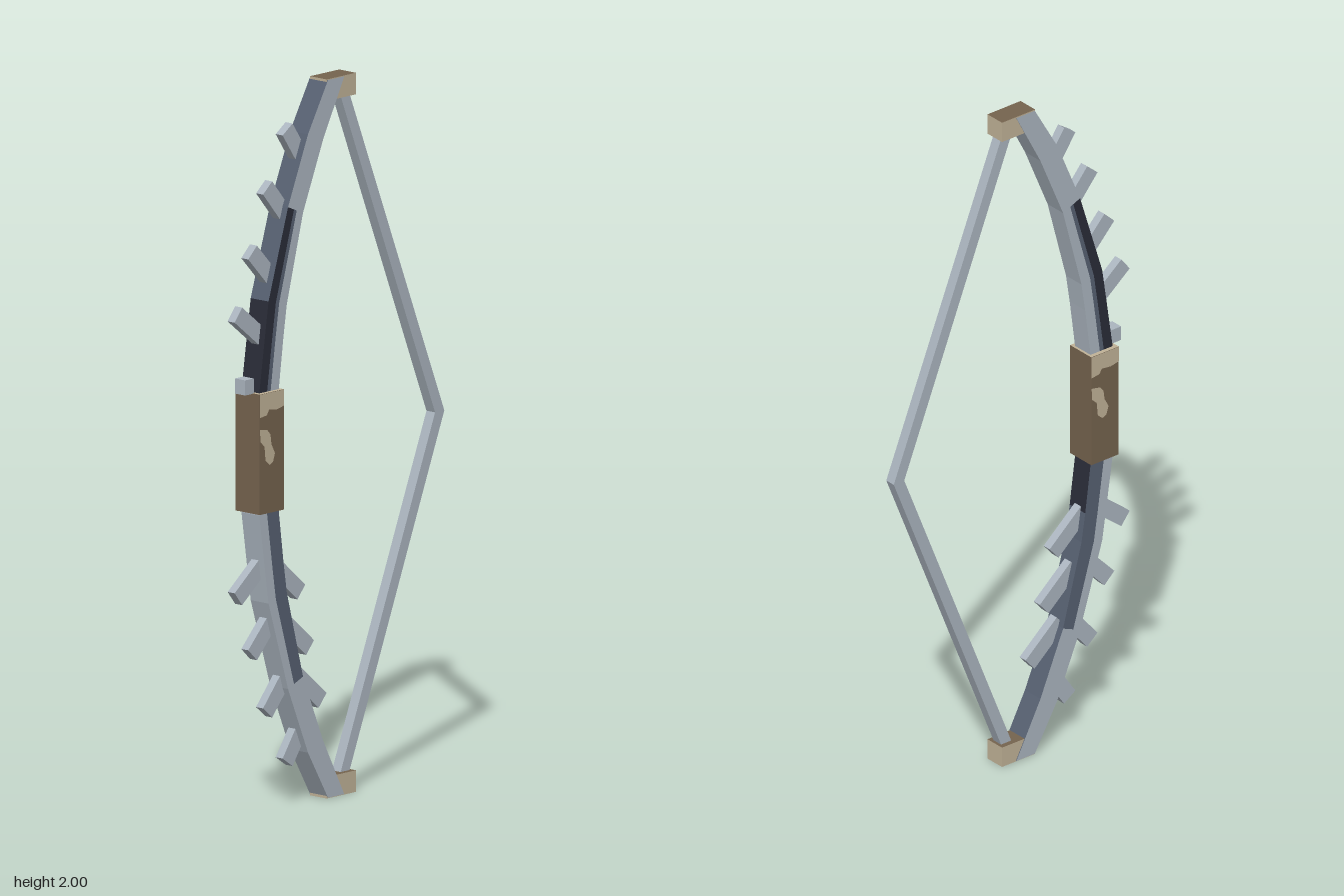
import * as THREE from 'three';

const mat = (name, color) => Object.assign(new THREE.MeshStandardMaterial({ color }), { name });

export function createModel() {
  const M = {
    light: mat('paleSteel', 0xabb5bf),
    slate: mat('slateBlue', 0x576172),
    dark: mat('darkNavy', 0x2a2c38),
    brown: mat('leatherBrown', 0x75634e),
    tan: mat('paleTan', 0xc0b297),
  };
  const bow = new THREE.Group();
  bow.name = 'bow';
  const add = (name, geometry, material, x = 0, y = 0, z = 0, parent = bow) => {
    const mesh = new THREE.Mesh(geometry, material);
    mesh.name = name;
    mesh.position.set(x, y, z);
    parent.add(mesh);
    return mesh;
  };

  // Limb sections from grip to tip: outer x, outer height, inner x, inner height
  const sections = [
    [-0.34, 0, -0.262, 0],
    [-0.34, 0.17, -0.262, 0.17],
    [-0.318, 0.32, -0.243, 0.315],
    [-0.303, 0.42, -0.23, 0.40],
    [-0.225, 0.67, -0.165, 0.645],
    [-0.145, 0.86, -0.085, 0.835],
    [-0.065, 0.998, 0, 0.998],
  ];
  const HALF = 0.033;
  const bands = [0, 0.4, 0.58, 1]; // colour bands across the flat of a limb

  const buildLimb = (name, side, colourOf) => {
    const limb = new THREE.Group();
    limb.name = name;
    const faces = { light: [], slate: [], dark: [] };
    const point = (s, f, z) => {
      const [ox, oy, ix, iy] = sections[s];
      return [ox + (ix - ox) * f, 1 + side * (oy + (iy - oy) * f), z];
    };
    const quad = (colour, flip, a, b, c, d) => {
      if (flip !== (side < 0)) [b, d] = [d, b];
      faces[colour].push(...a, ...b, ...c, ...a, ...c, ...d);
    };
    for (let s = 0; s < sections.length - 1; s++) {
      for (let k = 0; k < 3; k++) {
        const [f, g] = [bands[k], bands[k + 1]];
        for (const z of [HALF, -HALF]) {
          quad(colourOf.flat(s, k), z < 0,
            point(s, f, z), point(s, g, z), point(s + 1, g, z), point(s + 1, f, z));
        }
      }
      for (const f of [0, 1]) {
        quad(f ? colourOf.inner(s) : colourOf.outer(s), f === 0,
          point(s, f, HALF), point(s, f, -HALF), point(s + 1, f, -HALF), point(s + 1, f, HALF));
      }
    }
    for (const colour in faces) {
      const g = new THREE.BufferGeometry();
      g.setAttribute('position', new THREE.Float32BufferAttribute(faces[colour], 3));
      g.computeVertexNormals();
      add(`${name}_${colour}`, g, M[colour], 0, 0, 0, limb);
    }
    bow.add(limb);
  };
  buildLimb('upperLimb', 1, {
    flat: (s, k) => (s < 4 ? ['dark', 'slate', 'light'][k] : 'light'),
    outer: (s) => (s < 3 ? 'dark' : 'slate'),
    inner: () => 'light',
  });
  buildLimb('lowerLimb', -1, {
    flat: (s, k) => (s < 4 && k > 0 ? 'slate' : 'light'),
    outer: () => 'light',
    inner: (s) => (s < 2 ? 'dark' : 'slate'),
  });

  // Barbs: a square bar from its root in the limb to its outer end
  const addBarb = (name, x0, y0, x1, y1) => {
    const length = Math.hypot(x1 - x0, y1 - y0);
    const barb = add(name, new THREE.BoxGeometry(length, 0.048, 0.026), M.light,
      (x0 + x1) / 2, (y0 + y1) / 2);
    barb.rotation.z = Math.atan2(y1 - y0, x1 - x0);
  };
  const outerBarbs = [
    [-0.295, 0.31, -0.402, 0.395],
    [-0.25, 0.46, -0.345, 0.56],
    [-0.20, 0.63, -0.285, 0.73],
    [-0.14, 0.785, -0.205, 0.88],
  ];
  for (const [x0, y0, x1, y1] of outerBarbs) {
    for (const side of [1, -1]) addBarb('outerBarb', x0, 1 + side * y0, x1, 1 + side * y1);
  }
  for (const [x, y] of [[-0.15, 0.585], [-0.115, 0.425], [-0.065, 0.27]]) {
    addBarb('innerBarb', x - 0.11, y + 0.095, x, y);
  }

  // Grip with a tan top and worn tan patches on front and back
  const grip = new THREE.Group();
  grip.name = 'grip';
  grip.position.set(-0.303, 1.003, 0);
  bow.add(grip);
  const { brown, tan } = M;
  add('gripBlock', new THREE.BoxGeometry(0.097, 0.335, 0.09),
    [brown, brown, tan, brown, brown, brown], 0, 0, 0, grip);
  const outline = (pts) => new THREE.Shape(pts.map(([x, y]) => new THREE.Vector2(x, y)));
  const wear = new THREE.ShapeGeometry([
    outline([[-0.048, 0.167], [-0.048, 0.102], [-0.02, 0.106], [-0.012, 0.12], [0.02, 0.116],
      [0.048, 0.122], [0.048, 0.167]]),
    outline([[-0.048, 0.07], [-0.046, 0.035], [-0.03, 0.02], [-0.026, -0.02], [-0.01, -0.034],
      [0.004, -0.028], [0.012, -0.004], [-0.002, 0.022], [-0.006, 0.05], [-0.018, 0.064]]),
  ]);
  for (const turn of [0, Math.PI]) {
    const z = turn ? -0.0458 : 0.0458;
    add(turn ? 'gripWearBack' : 'gripWearFront', wear, tan, 0, 0, z, grip).rotation.y = turn;
  }
  add('arrowRest', new THREE.BoxGeometry(0.035, 0.042, 0.038), M.light, -0.364, 1.19, 0);

  // Limb tips
  for (const [name, y] of [['upperTip', 1.97], ['lowerTip', 0.03]]) {
    add(name, new THREE.BoxGeometry(0.117, 0.06, 0.062),
      [tan, tan, brown, brown, tan, tan], -0.0095, y, 0);
  }

  // Drawn string, bent at the middle
  const string = new THREE.ExtrudeGeometry(
    outline([[0, 1.95], [0.382, 1], [0, 0.05], [0.036, 0.05], [0.419, 1], [0.036, 1.95]]),
    { depth: 0.032, bevelEnabled: false });
  add('bowString', string, M.light, 0, 0, -0.016);

  return bow;
}
